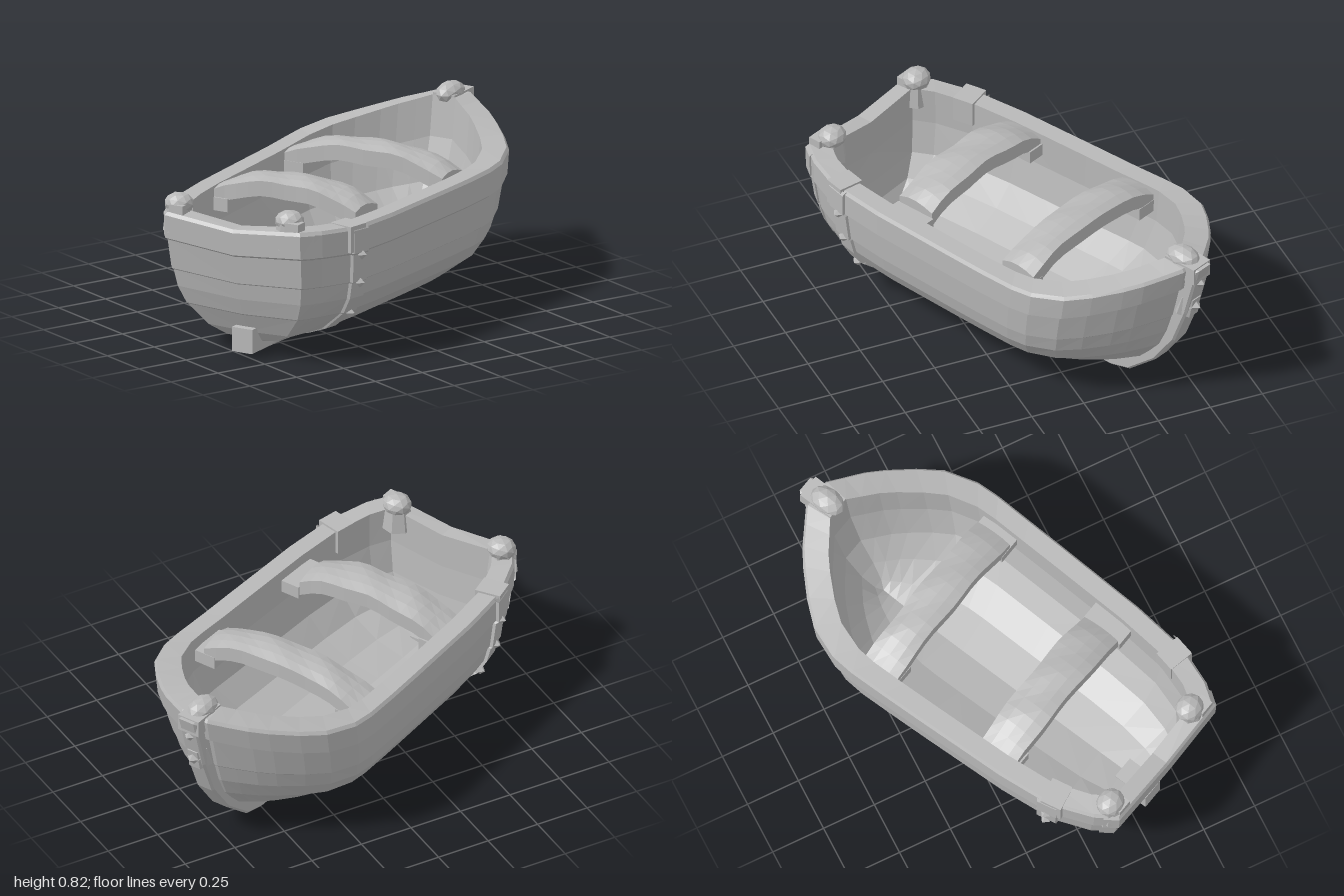
import * as THREE from 'three';

// Hull rows from keel, up over the rim, down to the floor: [y, width factor, stern x, bow x]
const ROWS = [
  [0.055, 0, -0.76, 0.66], [0.07, 0.34, -0.78, 0.7], [0.11, 0.57, -0.81, 0.76],
  [0.2, 0.8, -0.855, 0.86], [0.205, 0.815, -0.86, 0.865], [0.28, 0.905, -0.885, 0.91],
  [0.355, 0.94, -0.9, 0.94], [0.36, 0.955, -0.905, 0.945],
  [0.49, 0.98, -0.925, 0.985], [0.5, 1, -0.94, 1.01],
  [0.605, 1, -0.945, 1.03], [0.62, 0.98, -0.935, 1.02],
  [0.62, 0.815, -0.86, 0.905], [0.45, 0.815, -0.855, 0.88],
  [0.3, 0.75, -0.84, 0.82], [0.2, 0.59, -0.82, 0.74], [0.14, 0.32, -0.79, 0.68], [0.115, 0, -0.77, 0.65],
];
// Half width along the length, t = 0 at the stern and 1 at the bow
const WIDTH = [[0, 0.335], [0.05, 0.402], [0.146, 0.472], [0.28, 0.499], [0.4, 0.508], [0.504, 0.516],
  [0.6, 0.522], [0.69, 0.527], [0.745, 0.52], [0.82, 0.468], [0.87, 0.39], [0.92, 0.292], [0.95, 0.222], [0.977, 0.14], [1, 0.07]];

function halfWidth(t) {
  let k = 1;
  while (k < WIDTH.length - 1 && WIDTH[k][0] < t) k++;
  const [t0, w0] = WIDTH[k - 1], [t1, w1] = WIDTH[k];
  return w0 + (w1 - w0) * (t - t0) / (t1 - t0);
}

// Point on the hull, with the sheer rising sharply to the bow and slightly at the stern
function hullPoint(row, t, out = 0) {
  const [y, f, xs, xb] = row;
  const sheer = 0.14 * Math.max(0, (t - 0.55) / 0.45) ** 2.8 + 0.02 * Math.max(0, 1 - t / 0.15);
  return [xs + (xb - xs) * t, y + sheer * Math.min(1, y / 0.5), halfWidth(t) * f + out];
}

// Surface through a grid of points; side -1 mirrors it across the centreline
function gridGeometry(grid, side) {
  const n = grid[0].length, index = [];
  for (let i = 0; i < grid.length - 1; i++) {
    for (let j = 0; j < n - 1; j++) {
      const a = i * n + j, b = a + 1, c = b + n, d = a + n;
      if (side > 0) index.push(a, b, c, a, c, d);
      else index.push(a, c, b, a, d, c);
    }
  }
  const pos = grid.flat().flatMap(([x, y, z]) => [x, y, z * side]);
  const g = new THREE.BufferGeometry();
  g.setAttribute('position', new THREE.Float32BufferAttribute(pos, 3));
  g.setIndex(index);
  g.computeVertexNormals();
  return g;
}

// Raised band that follows the outside of the hull between two stations
function bandGeometry(t0, t1, thick, side) {
  return gridGeometry(ROWS.slice(1, 12).map(r => [
    hullPoint(r, t0, -0.01), hullPoint(r, t0, thick), hullPoint(r, t1, thick), hullPoint(r, t1, -0.01),
  ]), side);
}

export function createModel() {
  const model = new THREE.Group();
  model.name = 'rowingBoat';
  const boat = new THREE.Group();
  boat.name = 'boat';
  boat.rotation.y = 0.445;
  boat.position.z = -0.01;
  model.add(boat);
  const wood = new THREE.MeshStandardMaterial({ color: 0xb8b8b8, flatShading: true });
  wood.name = 'greyWood';

  const add = (name, geometry, x = 0, y = 0, z = 0) => {
    const mesh = new THREE.Mesh(geometry, wood);
    mesh.name = name;
    mesh.position.set(x, y, z);
    boat.add(mesh);
    return mesh;
  };
  const lump = (name, x, y, z, sx, sy, sz) => {
    const mesh = add(name, new THREE.IcosahedronGeometry(1, 1), x, y, z);
    mesh.scale.set(sx, sy, sz);
  };
  const stud = (name, x, y, z, r) => add(name, new THREE.OctahedronGeometry(r), x, y, z);

  for (const side of [1, -1]) {
    const label = side > 0 ? 'Near' : 'Far';

    // Hull half: both ends collapse to the centreline, which closes transom and bow
    const hull = ROWS.map(r => {
      const pts = WIDTH.map(([t]) => hullPoint(r, t));
      const [bowX, bowY] = pts[pts.length - 1];
      return [[r[2], r[0] * 0.98, 0], ...pts, [bowX, bowY, 0]];
    });
    add('hull' + label, gridGeometry(hull, side));

    // Transom edge trim and the studded strap with its clamp over the rim
    add('transomTrim' + label, bandGeometry(0, 0.03, 0.01, side));
    add('strap' + label, bandGeometry(0.128, 0.176, 0.016, side));
    const clamp = add('strapClamp' + label, new THREE.BoxGeometry(0.1, 0.12, 0.12), -0.65, 0.57, side * 0.42);
    clamp.rotation.y = side * -0.2;
    for (const k of [3, 6, 8]) {
      const [x, y, z] = hullPoint(ROWS[k], 0.152, 0.016);
      stud('strapStud' + label, x, y, z * side, 0.026);
    }

    // Worn stern corner post
    const z = side > 0 ? 0.25 : -0.315;
    add('sternPost' + label, new THREE.CylinderGeometry(0.055, 0.07, 0.12, 7), -0.875, 0.605, z);
    lump('sternKnob' + label, -0.87, 0.668, z, 0.062, 0.05, 0.068);
    add('sternCorner' + label, new THREE.BoxGeometry(0.06, 0.06, 0.07), -0.905, 0.645, side * 0.295);
  }

  // Keel and stem in one piece
  const keel = new THREE.Shape([
    [-0.84, 0.03], [-0.4, 0.02], [0.1, 0.01], [0.58, 0.015], [0.68, 0.04], [0.83, 0.165], [0.94, 0.32], [1.01, 0.5], [1.08, 0.755],
    [0.98, 0.755], [0.94, 0.5], [0.86, 0.34], [0.74, 0.17], [0.62, 0.08], [-0.84, 0.08],
  ].map(([x, y]) => new THREE.Vector2(x, y)));
  const keelGeometry = new THREE.ExtrudeGeometry(keel, {
    depth: 0.075, bevelEnabled: true, bevelThickness: 0.01, bevelSize: 0.01, bevelSegments: 1,
  });
  keelGeometry.translate(0, 0, -0.0375);
  add('keelAndStem', keelGeometry);
  add('keelBlock', new THREE.BoxGeometry(0.17, 0.11, 0.105), -0.775, 0.08, 0);

  // Stem head with rounded cap, studs and a bracket lower down
  add('stemHead', new THREE.BoxGeometry(0.17, 0.08, 0.11), 0.99, 0.73, 0);
  lump('stemCap', 0.965, 0.765, 0, 0.085, 0.05, 0.06);
  stud('stemStud', 1.055, 0.67, 0, 0.035);
  const bracket = add('stemBracket', new THREE.CylinderGeometry(0.05, 0.058, 0.1, 6), 0.99, 0.535, 0);
  bracket.rotation.z = -0.26;
  stud('stemStud', 1.03, 0.53, 0, 0.035);

  // Arched thwarts with softened edges, resting on cleats
  for (const [name, x, z0, z1, width] of [['foreThwart', 0.33, -0.43, 0.38, 0.175], ['aftThwart', -0.32, -0.41, 0.32, 0.195]]) {
    const half = (z1 - z0) / 2, mid = (z0 + z1) / 2;
    const g = new THREE.BoxGeometry(width, 0.07, half * 2, 4, 1, 12);
    const p = g.attributes.position;
    for (let i = 0; i < p.count; i++) {
      const u = p.getX(i) / (width / 2), v = p.getZ(i) / half;
      p.setX(i, p.getX(i) * (1 + 0.04 * Math.sin(v * 7 + x * 5)));
      p.setY(i, p.getY(i) + 0.662 - 0.08 * Math.abs(v) ** 2.6 - 0.018 * u * u + 0.004 * Math.sin(v * 9 + u * 2));
    }
    g.computeVertexNormals();
    add(name, g, x, 0, mid);
    for (const z of [-0.385, 0.375]) {
      add(name + 'Cleat', new THREE.BoxGeometry(width + 0.01, 0.06, 0.11), x, 0.54, z);
    }
  }
  return model;
}
